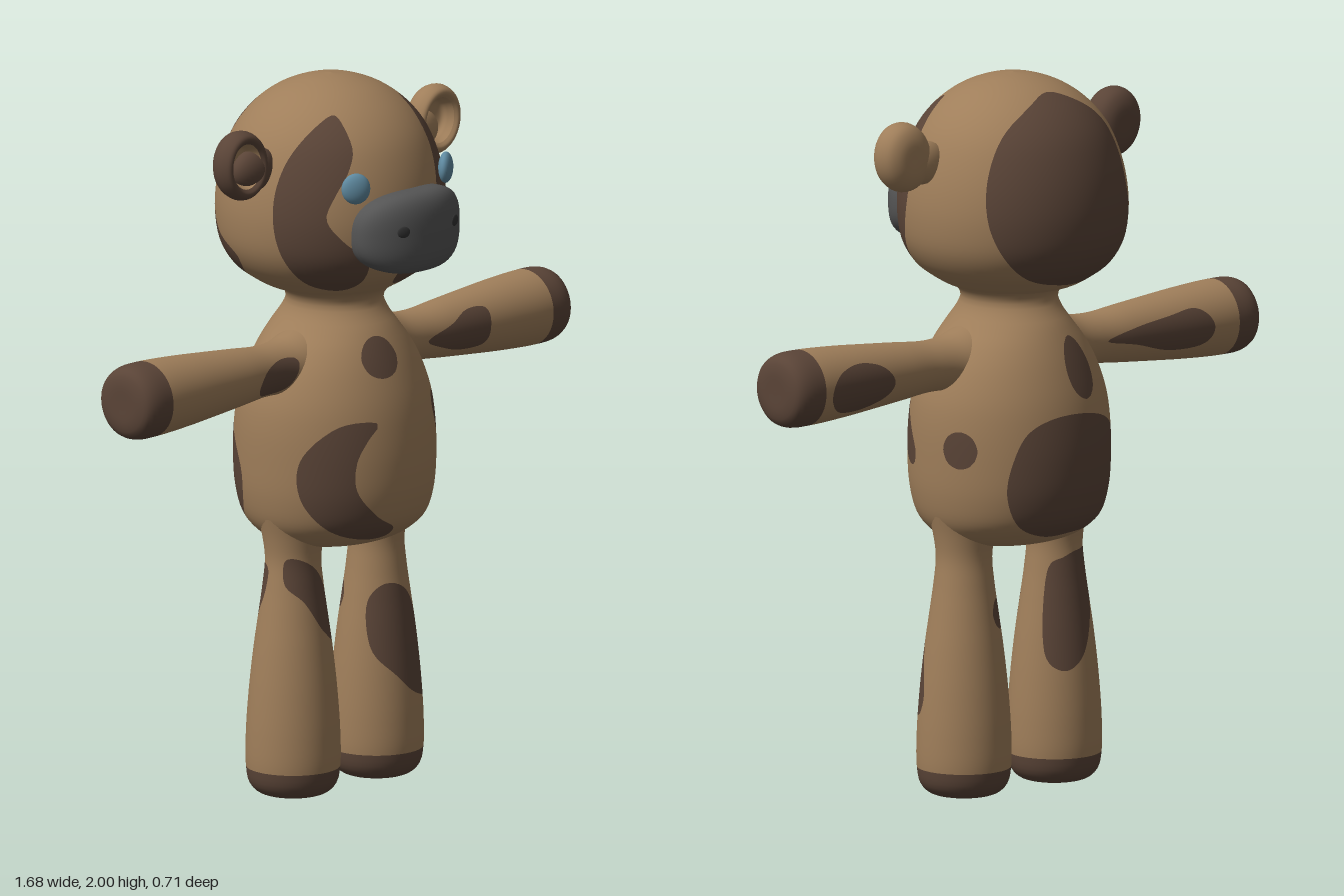
import * as THREE from 'three';

const material = (name, color) => {
  const m = new THREE.MeshStandardMaterial({ color });
  m.name = name;
  return m;
};
const tan = material('tan hide', 0x9f7e5a);
const brown = material('brown patch', 0x5a4437);
const grey = material('grey muzzle', 0x545454);
const blue = material('blue eye', 0x5f8aa0);
const dark = material('dark nostril', 0x323232);

// A patch outline is a smooth closed curve in (degrees around the part, distance along it).
const DEG = 200;
function patch(points) {
  const curve = new THREE.CatmullRomCurve3(
    points.map(([a, t]) => new THREE.Vector3(a / DEG, t, 0)), true);
  const poly = curve.getPoints(points.length * 6);
  const mid = points.reduce((s, p) => s + p[0], 0) / points.length;
  return (angle, t) => {
    const a = (mid + ((((angle - mid + 180) % 360) + 360) % 360) - 180) / DEG;
    let inside = false;
    for (let i = 0, j = poly.length - 1; i < poly.length; j = i++) {
      const p = poly[i], q = poly[j];
      if ((p.y > t) !== (q.y > t) && a < ((q.x - p.x) * (t - p.y)) / (q.y - p.y) + p.x) inside = !inside;
    }
    return inside;
  };
}
const spot = (a, t, da, dt) => patch(Array.from({ length: 8 }, (_, i) => {
  const k = (i * Math.PI) / 4;
  return [a + da * Math.cos(k), t + dt * Math.sin(k)];
}));

// Smooth round part along y from rows [t, radiusX, radiusZ]; triangles are cut along the patch edges.
function hidePart(name, rows, around, along, tests) {
  const curve = new THREE.CatmullRomCurve3(rows.map(([t, rx, rz = rx]) => new THREE.Vector3(t, rx, rz)));
  const pos = [], index = [];
  curve.getSpacedPoints(along).forEach((p, j) => {
    for (let i = 0; i < around; i++) {
      const a = (i / around) * Math.PI * 2;
      pos.push(Math.max(p.y, 0) * Math.sin(a), p.x, Math.max(p.z, 0) * Math.cos(a));
      if (j === along) continue;
      const n = (i + 1) % around, A = j * around + i, B = j * around + n;
      index.push(A, B, B + around, A, B + around, A + around);
    }
  });
  const grid = new THREE.BufferGeometry();
  grid.setAttribute('position', new THREE.Float32BufferAttribute(pos, 3));
  grid.setIndex(index);
  grid.computeVertexNormals();

  const painted = p => {
    const angle = THREE.MathUtils.radToDeg(Math.atan2(p.x, p.z));
    return tests.some(f => f(angle, p.y));
  };
  const verts = [];
  for (let i = 0; i < pos.length / 3; i++) {
    const p = new THREE.Vector3().fromBufferAttribute(grid.attributes.position, i);
    verts.push({ p, n: new THREE.Vector3().fromBufferAttribute(grid.attributes.normal, i), on: painted(p) });
  }
  const cross = (u, v) => {
    let lo = 0, hi = 1;
    for (let k = 0; k < 8; k++) {
      const m = (lo + hi) / 2;
      if (painted(u.p.clone().lerp(v.p, m)) === u.on) lo = m; else hi = m;
    }
    return { p: u.p.clone().lerp(v.p, lo), n: u.n.clone().lerp(v.n, lo).normalize() };
  };
  const out = [[], []];
  for (let i = 0; i < index.length; i += 3) {
    const tri = [verts[index[i]], verts[index[i + 1]], verts[index[i + 2]]];
    const count = tri.filter(v => v.on).length;
    if (count % 3 === 0) { out[count ? 1 : 0].push(...tri); continue; }
    const k = tri.findIndex(v => v.on === (count === 1));
    const a = tri[k], b = tri[(k + 1) % 3], c = tri[(k + 2) % 3];
    const ab = cross(a, b), ac = cross(a, c);
    out[+a.on].push(a, ab, ac);
    out[+b.on].push(ab, b, c, ab, c, ac);
  }
  const all = out.flat(), geo = new THREE.BufferGeometry();
  geo.setAttribute('position', new THREE.Float32BufferAttribute(all.flatMap(v => v.p.toArray()), 3));
  geo.setAttribute('normal', new THREE.Float32BufferAttribute(all.flatMap(v => v.n.toArray()), 3));
  geo.addGroup(0, out[0].length, 0);
  geo.addGroup(out[0].length, out[1].length, 1);
  const mesh = new THREE.Mesh(geo, [tan, brown]);
  mesh.name = name;
  return mesh;
}

function ball(name, mat, pos, scale, yaw = 0) {
  const m = new THREE.Mesh(new THREE.SphereGeometry(1, 32, 20), mat);
  m.name = name;
  m.position.set(...pos);
  m.scale.set(...scale);
  m.rotation.y = yaw;
  return m;
}

// Cupped ear facing forward on a short stem
function ear(side, mat) {
  const g = new THREE.Group();
  g.name = side > 0 ? 'leftEar' : 'rightEar';
  const cup = (name, pts, m) => {
    const curve = new THREE.SplineCurve(pts.map(p => new THREE.Vector2(...p)));
    const geo = new THREE.LatheGeometry(curve.getPoints(24).map(p => p.setX(Math.max(p.x, 0))), 40);
    geo.rotateX(Math.PI / 2).scale(0.86, 1, 1).rotateZ(-0.2 * side);
    const mesh = new THREE.Mesh(geo, m);
    mesh.name = name;
    mesh.position.set(0.378 * side, 1.807, -0.025);
    g.add(mesh);
  };
  cup('earShell', [[0, -0.045], [0.05, -0.043], [0.085, -0.025], [0.098, 0.008], [0.09, 0.036], [0.076, 0.043], [0.064, 0.034]], mat);
  cup('earInner', [[0.064, 0.034], [0.057, 0.015], [0.045, -0.004], [0, -0.012]], tan);
  g.add(ball('earStem', mat, [0.315 * side, 1.785, -0.025], [0.08, 0.06, 0.042]));
  return g;
}

// Wide muzzle: a boxy ball, narrower above and below, wrapped around the face
function muzzle() {
  const geo = new THREE.SphereGeometry(1, 56, 36), p = geo.attributes.position;
  for (let i = 0; i < p.count; i++) {
    const v = new THREE.Vector3().fromBufferAttribute(p, i);
    v.divideScalar(Math.cbrt(Math.abs(v.x) ** 3 + Math.abs(v.y) ** 3 + Math.abs(v.z) ** 3));
    const x = v.x * 0.185 * (1 - 0.08 * v.y * v.y);
    p.setXYZ(i, x, 1.613 + v.y * 0.114, 0.285 + v.z * 0.068 - 1.5 * x * x);
  }
  geo.computeVertexNormals();
  const m = new THREE.Mesh(geo, grey);
  m.name = 'muzzle';
  return m;
}

export function createModel() {
  const model = new THREE.Group();
  model.name = 'toyCalf';

  // Head with two cheek patches and one on the back
  const head = hidePart('head', [[1.4, 0], [1.403, 0.1], [1.415, 0.17], [1.442, 0.222], [1.48, 0.27], [1.54, 0.304],
    [1.62, 0.316], [1.7, 0.311], [1.78, 0.292], [1.85, 0.262], [1.91, 0.215], [1.96, 0.148], [1.99, 0.07], [2, 0]], 96, 64, [
    patch([[50, 1.935], [34, 1.88], [28, 1.79], [22, 1.7], [12, 1.58], [-4, 1.48], [0, 1.45], [20, 1.435],
      [42, 1.43], [60, 1.49], [70, 1.6], [73, 1.71], [68, 1.84], [60, 1.91]]),
    patch([[-42, 1.925], [-33, 1.85], [-36, 1.79], [-44, 1.72], [-48, 1.66], [-38, 1.59], [-26, 1.54], [-27, 1.47],
      [-36, 1.44], [-60, 1.46], [-72, 1.55], [-76, 1.7], [-70, 1.82], [-56, 1.9]]),
    patch([[195, 1.955], [165, 1.955], [135, 1.88], [126, 1.76], [129, 1.6], [145, 1.48], [175, 1.44],
      [215, 1.44], [250, 1.47], [255, 1.52], [235, 1.58], [222, 1.68], [222, 1.8], [220, 1.89]]),
  ]);
  head.position.z = -0.04;

  // Body and neck
  const body = hidePart('body', [[0.69, 0, 0], [0.695, 0.1, 0.08], [0.715, 0.19, 0.16], [0.74, 0.23, 0.205], [0.78, 0.257, 0.247],
    [0.85, 0.273, 0.27], [0.95, 0.279, 0.276], [1.05, 0.278, 0.268], [1.12, 0.268, 0.255], [1.2, 0.24, 0.23],
    [1.26, 0.205, 0.205], [1.31, 0.165, 0.178], [1.35, 0.138, 0.15], [1.38, 0.13, 0.136], [1.405, 0.145, 0.148],
    [1.425, 0.19, 0.18]], 96, 72, [
    spot(-10, 1.243, 16, 0.055),
    spot(110, 0.99, 11, 0.052),
    spot(195, 1.2, 13, 0.085),
    patch([[36, 1.09], [42, 1.115], [52, 1.09], [66, 1.02], [73, 0.96], [70, 0.925], [60, 0.93], [48, 0.98], [38, 1.04]]),
    patch([[-19, 1.07], [-43, 1.07], [-66, 0.97], [-66, 0.865], [-50, 0.775], [-22, 0.735], [-2, 0.742],
      [-3, 0.765], [-19, 0.81], [-33, 0.89], [-33, 0.97], [-26, 1.03]]),
    patch([[150, 1.04], [165, 1.075], [190, 1.08], [215, 1.05], [238, 0.98], [248, 0.9], [243, 0.8], [225, 0.745],
      [195, 0.74], [165, 0.74], [145, 0.78], [138, 0.87], [142, 0.97]]),
  ]);
  body.position.z = -0.025;
  model.add(head, body);

  // Arms: angles run from the top (0) over the front (90) to the back (270)
  const armPatches = {
    1: [[[95, 0.29], [70, 0.38], [48, 0.45], [50, 0.5], [90, 0.515], [125, 0.49], [130, 0.42], [115, 0.34]],
      [[265, 0.48], [300, 0.53], [308, 0.6], [295, 0.68], [260, 0.72], [228, 0.67], [222, 0.6], [235, 0.52]]],
    [-1]: [[[115, 0.37], [75, 0.34], [55, 0.27], [60, 0.23], [100, 0.23], [140, 0.28], [140, 0.33]],
      [[270, 0.3], [290, 0.4], [300, 0.52], [305, 0.6], [270, 0.66], [240, 0.62], [235, 0.52], [255, 0.4]]],
  };
  // Legs: angles run from the front (0) toward +x (90)
  const legPatches = {
    1: [patch([[-37, 0.555], [18, 0.53], [62, 0.39], [75, 0.29], [66, 0.24], [13, 0.25], [-20, 0.31], [-55, 0.39], [-62, 0.5]]),
      spot(220, 0.515, 24, 0.042)],
    [-1]: [patch([[-65, 0.67], [8, 0.645], [50, 0.535], [47, 0.45], [13, 0.47], [-25, 0.56], [-65, 0.62]]),
      patch([[125, 0.6], [160, 0.64], [200, 0.655], [255, 0.64], [250, 0.58], [215, 0.48], [180, 0.36], [150, 0.33], [125, 0.38]])],
  };
  for (const s of [1, -1]) {
    const side = s > 0 ? 'left' : 'right';
    const arm = hidePart(side + 'Arm', [[0.1, 0.11], [0.17, 0.092], [0.23, 0.075], [0.3, 0.071], [0.4, 0.08], [0.5, 0.089], [0.62, 0.099],
      [0.74, 0.105], [0.8, 0.103], [0.826, 0.092], [0.838, 0.065], [0.84, 0]], 60, 64,
    [...armPatches[s].map(pts => patch(pts.map(([a, t]) => [a * s, t]))), (a, t) => t > 0.745]);
    arm.geometry.applyMatrix4(new THREE.Matrix4().makeBasis(
      new THREE.Vector3(0, 0, s), new THREE.Vector3(s, 0, 0), new THREE.Vector3(0, 1, 0)));
    arm.position.set(0, 1.215, -0.02);

    const leg = hidePart(side + 'Leg', [[0.005, 0], [0.008, 0.06], [0.02, 0.1], [0.045, 0.121], [0.09, 0.129], [0.18, 0.129], [0.3, 0.121],
      [0.42, 0.108], [0.52, 0.094], [0.6, 0.083], [0.67, 0.077], [0.73, 0.084], [0.8, 0.1]], 60, 64,
    [...legPatches[s], (a, t) => t < 0.087]);
    leg.position.set(0.163 * s, 0, -0.025);

    model.add(arm, leg, ear(s, s > 0 ? tan : brown),
      ball(side + 'Eye', blue, [0.176 * s, 1.747, 0.226], [0.04, 0.043, 0.02], 0.6 * s),
      ball(side + 'Nostril', dark, [0.1 * s, 1.63, 0.334], [0.019, 0.016, 0.005], 0.35 * s));
  }
  model.add(muzzle());
  return model;
}
